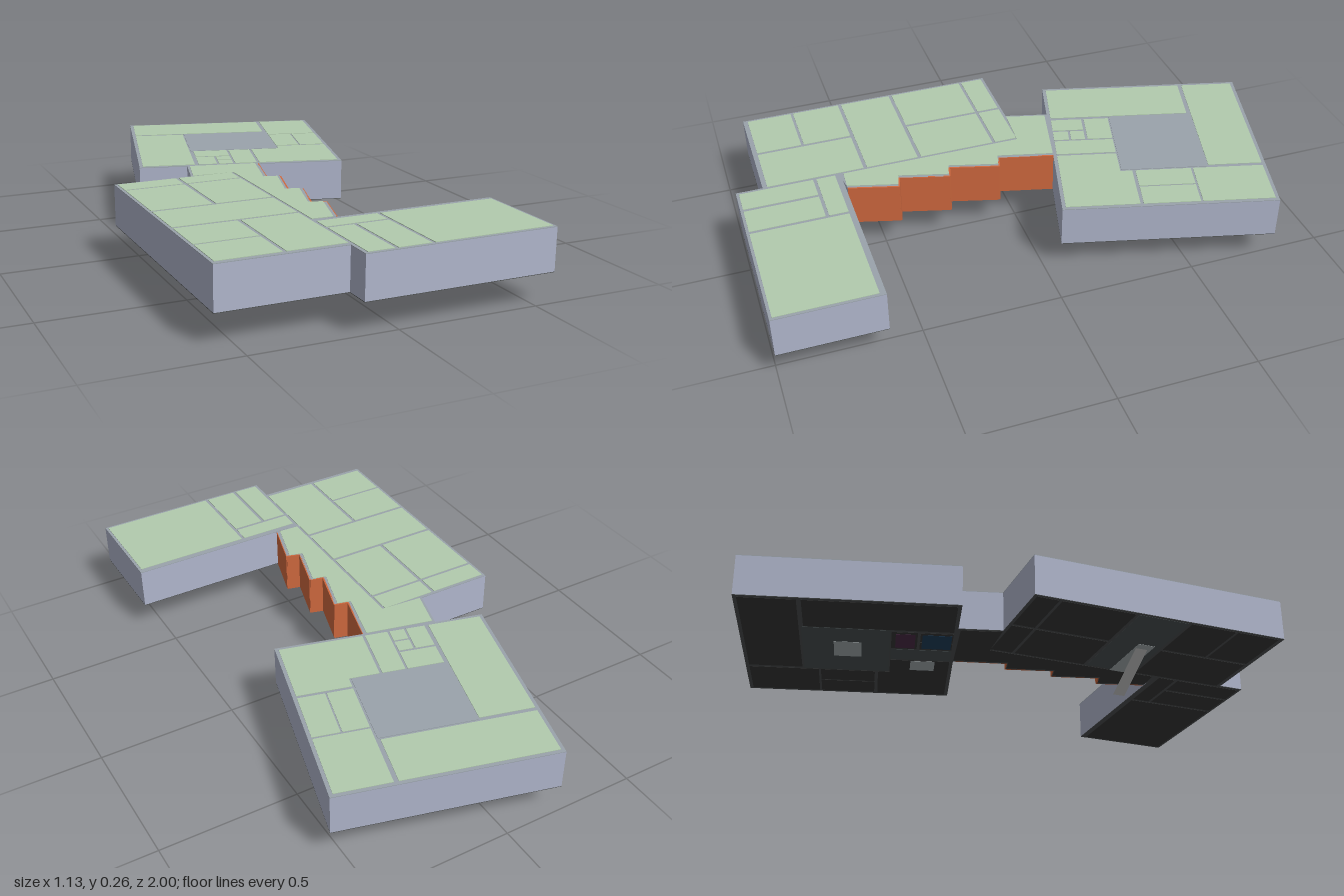
import * as THREE from 'three';

const Y0 = 0.105, Y1 = 0.26, T = 0.002; // floor level, roof level, panel thickness

const mat = (color) => new THREE.MeshStandardMaterial({ color });
const wallMat = mat(0xb0b6cc), capMat = mat(0x9aa3ab), roofMat = mat(0xb2cbae), atriumMat = mat(0x9aa3ab);
const baseMat = mat(0x4c4f50), floorMat = mat(0x383838), hallMat = mat(0x4a5254);
const orangeMat = mat(0xd0693f), paleMat = mat(0xa8b0b2), purpleMat = mat(0x4c2c48), blueMat = mat(0x1f3f5c);

// Upright prism over a plan outline of [x, z] points
function prism(name, pts, y0, y1, material) {
  const shape = new THREE.Shape(pts.map(([x, z]) => new THREE.Vector2(x, -z)));
  const geo = new THREE.ExtrudeGeometry(shape, { depth: y1 - y0, bevelEnabled: false });
  geo.rotateX(-Math.PI / 2).translate(0, y0, 0);
  const mesh = new THREE.Mesh(geo, material);
  mesh.name = name;
  return mesh;
}

const rect = ([x0, z0, x1, z1]) => [[x0, z0], [x1, z0], [x1, z1], [x0, z1]];

// Walls with a thin base plate; roof and floor panels leave the wall lines showing
function block(name, outline, rooms) {
  const g = new THREE.Group();
  g.name = name;
  g.add(prism('walls', outline, Y0 + T, Y1 - 2 * T, wallMat));
  g.add(prism('wallTops', outline, Y1 - 2 * T, Y1 - T, capMat));
  g.add(prism('basePlate', outline, Y0, Y0 + T, baseMat));
  for (const { pts, roof = roofMat, floor = floorMat } of rooms) {
    g.add(prism('roofPanel', pts, Y1 - T, Y1, roof));
    g.add(prism('floorPanel', pts, Y0 - T / 2, Y0, floor));
  }
  return g;
}

const room = (r, extra = {}) => ({ pts: rect(r), ...extra });
const patch = (name, r, material) => prism(name, rect(r), Y0 - T, Y0 - T / 2, material);

// Square house turned about 15 degrees, laid out from its back corner
function house() {
  const g = block('squareHouse', rect([0, 0, 0.776, 0.767]), [
    room([0.215, 0.218, 0.56, 0.53], { roof: atriumMat, floor: hallMat }),
    room([0.013, 0.013, 0.552, 0.21]),
    room([0.013, 0.226, 0.21, 0.754]),
    room([0.568, 0.013, 0.763, 0.27]),
    room([0.568, 0.278, 0.66, 0.48]),
    room([0.666, 0.278, 0.763, 0.48]),
    room([0.568, 0.492, 0.763, 0.754]),
    room([0.458, 0.535, 0.568, 0.754]),
    room([0.365, 0.535, 0.448, 0.754], { floor: hallMat }),
    room([0.225, 0.535, 0.357, 0.628]),
    room([0.225, 0.638, 0.295, 0.754]),
    room([0.303, 0.638, 0.357, 0.69]),
    room([0.303, 0.698, 0.357, 0.754]),
  ]);
  g.add(patch('atriumOpening', [0.32, 0.33, 0.44, 0.43], paleMat));
  g.add(patch('entranceOpening', [0.46, 0.61, 0.54, 0.7], paleMat));
  g.add(patch('purpleFloor', [0.24, 0.55, 0.35, 0.62], purpleMat));
  g.add(patch('blueFloor', [0.24, 0.645, 0.35, 0.75], blueMat));
  g.position.set(-0.208, 0, -0.998);
  g.rotation.y = -Math.atan2(0.2, 0.75);
  return g;
}

function westWing() {
  const g = block('westWing', rect([-0.565, -0.058, -0.115, 0.905]), [
    room([-0.555, -0.047, -0.337, 0.035]),
    room([-0.325, -0.047, -0.12, 0.035]),
    room([-0.555, 0.046, -0.337, 0.322]),
    room([-0.325, 0.046, -0.12, 0.322]),
    room([-0.555, 0.335, -0.12, 0.525], { floor: hallMat }),
    room([-0.555, 0.538, -0.337, 0.714]),
    room([-0.555, 0.724, -0.337, 0.888]),
    room([-0.325, 0.538, -0.12, 0.888]),
  ]);
  g.add(patch('stairOpening', [-0.35, 0.435, -0.11, 0.5], paleMat));
  return g;
}

const eastWing = () => block('eastWing', rect([-0.12, 0.625, 0.565, 1]), [
  room([-0.108, 0.646, 0.112, 0.714]),
  room([-0.108, 0.726, -0.016, 0.99]),
  room([-0.004, 0.726, 0.112, 0.99]),
  room([0.124, 0.646, 0.555, 0.99]),
]);

// Linking corridor with a sawtooth facade in orange
function corridor() {
  const saw = [[0.03, -0.143]];
  for (let i = 0; i < 4; i++) {
    const z = 0.055 + i * 0.188;
    saw.push([-0.022, z]);
    if (i < 3) saw.push([0.028, z + 0.013]);
  }
  const outline = [...saw, [-0.115, 0.63], [-0.115, -0.055], [-0.275, -0.055], [-0.232, -0.213]];
  const inner = [...saw.map(([x, z]) => [x - 0.012, z]),
    [-0.11, 0.615], [-0.11, -0.047], [-0.265, -0.058], [-0.226, -0.2]];
  const g = block('corridor', outline, [{ pts: inner }]);
  for (let i = 0; i < saw.length - 1; i++) {
    const [x0, z0] = saw[i], [x1, z1] = saw[i + 1];
    const len = Math.hypot(x1 - x0, z1 - z0);
    const panel = new THREE.Mesh(new THREE.BoxGeometry(0.006, Y1 - Y0 - T, len), orangeMat);
    panel.name = 'sawtoothPanel';
    panel.position.set((x0 + x1) / 2, (Y0 + Y1 - T) / 2, (z0 + z1) / 2);
    panel.rotation.y = Math.atan2(x1 - x0, z1 - z0);
    g.add(panel);
  }
  return g;
}

// Thin sloping stair flight under the west wing
function stairFlight() {
  const run = 0.2, geo = new THREE.PlaneGeometry(Math.hypot(run, Y0), 0.046);
  geo.rotateX(-Math.PI / 2).rotateZ(-Math.atan2(Y0, run));
  const m = new THREE.Mesh(geo, new THREE.MeshStandardMaterial({ color: 0xcccccc, side: THREE.DoubleSide }));
  m.name = 'stairFlight';
  m.position.set(-0.22, Y0 / 2, 0.463);
  return m;
}

export function createModel() {
  const model = new THREE.Group();
  model.name = 'building';
  model.add(house(), westWing(), eastWing(), corridor(), stairFlight());
  return model;
}
